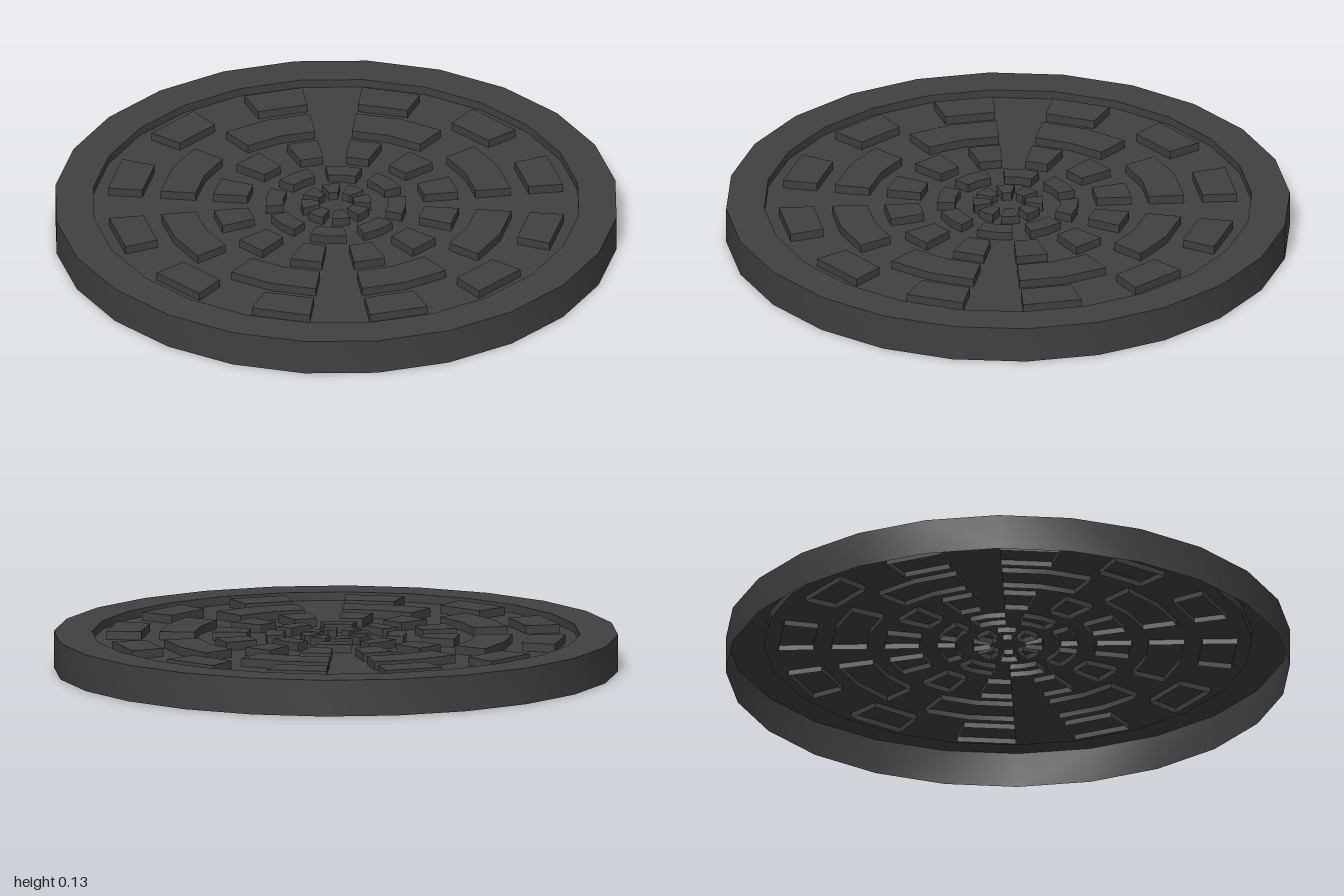
import * as THREE from 'three';
import { toCreasedNormals } from 'three/addons/utils/BufferGeometryUtils.js';

const SEGMENTS = 24;
const STEP = Math.PI / 12; // one side of the disc
const TOP = 0.13, PLATE = 0.1, BLOCK_BOTTOM = 0.08;
const RIM_INNER = 0.865;

const material = new THREE.MeshStandardMaterial({ color: 0x404040, side: THREE.DoubleSide });

function addMesh(parent, name, geometry) {
  const mesh = new THREE.Mesh(geometry, material);
  mesh.name = name;
  parent.add(mesh);
  return mesh;
}

// Raised tread block: a ring sector, open below, spanning whole sides of the disc
function blockGeometry(inner, outer, sides) {
  const positions = [];
  const point = (r, i, y) => [r * Math.sin(i * STEP), y, -r * Math.cos(i * STEP)];
  const quad = (a, b, c, d) => positions.push(...a, ...b, ...c, ...a, ...c, ...d);
  const outline = [];
  for (let i = 0; i <= sides; i++) outline.push([inner, i]);
  for (let i = sides; i >= 0; i--) outline.push([outer, i]);
  outline.forEach(([r, i], k) => {
    const [r2, i2] = outline[(k + 1) % outline.length];
    quad(point(r, i, BLOCK_BOTTOM), point(r2, i2, BLOCK_BOTTOM), point(r2, i2, TOP), point(r, i, TOP));
  });
  for (let i = 0; i < sides; i++) {
    quad(point(inner, i, TOP), point(inner, i + 1, TOP), point(outer, i + 1, TOP), point(outer, i, TOP));
  }
  const geometry = new THREE.BufferGeometry();
  geometry.setAttribute('position', new THREE.Float32BufferAttribute(positions, 3));
  return toCreasedNormals(geometry, 0.5);
}

export function createModel() {
  const cover = new THREE.Group();
  cover.name = 'roundCover';

  // Outer wall, flat rim and the step down to the plate
  const profile = [[1, 0], [1, TOP], [RIM_INNER, TOP], [RIM_INNER, PLATE]]
    .map(([r, y]) => new THREE.Vector2(r, y));
  addMesh(cover, 'rim', toCreasedNormals(new THREE.LatheGeometry(profile, SEGMENTS), 0.5));

  // Sunken plate
  const plate = new THREE.CircleGeometry(RIM_INNER, SEGMENTS).rotateX(-Math.PI / 2);
  addMesh(cover, 'plate', plate).position.y = PLATE;

  // Rings of tread blocks; sides, pitch and start count in steps of 15 degrees
  const rings = [
    { inner: 0.0625, outer: 0.125, sides: 2, pitch: 3, start: -1 },
    { inner: 0.1875, outer: 0.25, sides: 2, pitch: 3, start: 0 },
    { inner: 0.315, outer: 0.4375, sides: 1, pitch: 2, start: 0 },
    { inner: 0.5, outer: 0.625, sides: 2, pitch: 3, start: 1 },
    { inner: 0.69, outer: 0.8125, sides: 1, pitch: 2, start: 0 },
  ];
  rings.forEach(({ inner, outer, sides, pitch, start }, index) => {
    const ring = new THREE.Group();
    ring.name = `blockRing${index + 1}`;
    const geometry = blockGeometry(inner, outer, sides);
    for (let i = start; i < start + SEGMENTS; i += pitch) {
      addMesh(ring, 'treadBlock', geometry).rotation.y = -i * STEP;
    }
    cover.add(ring);
  });

  return cover;
}
